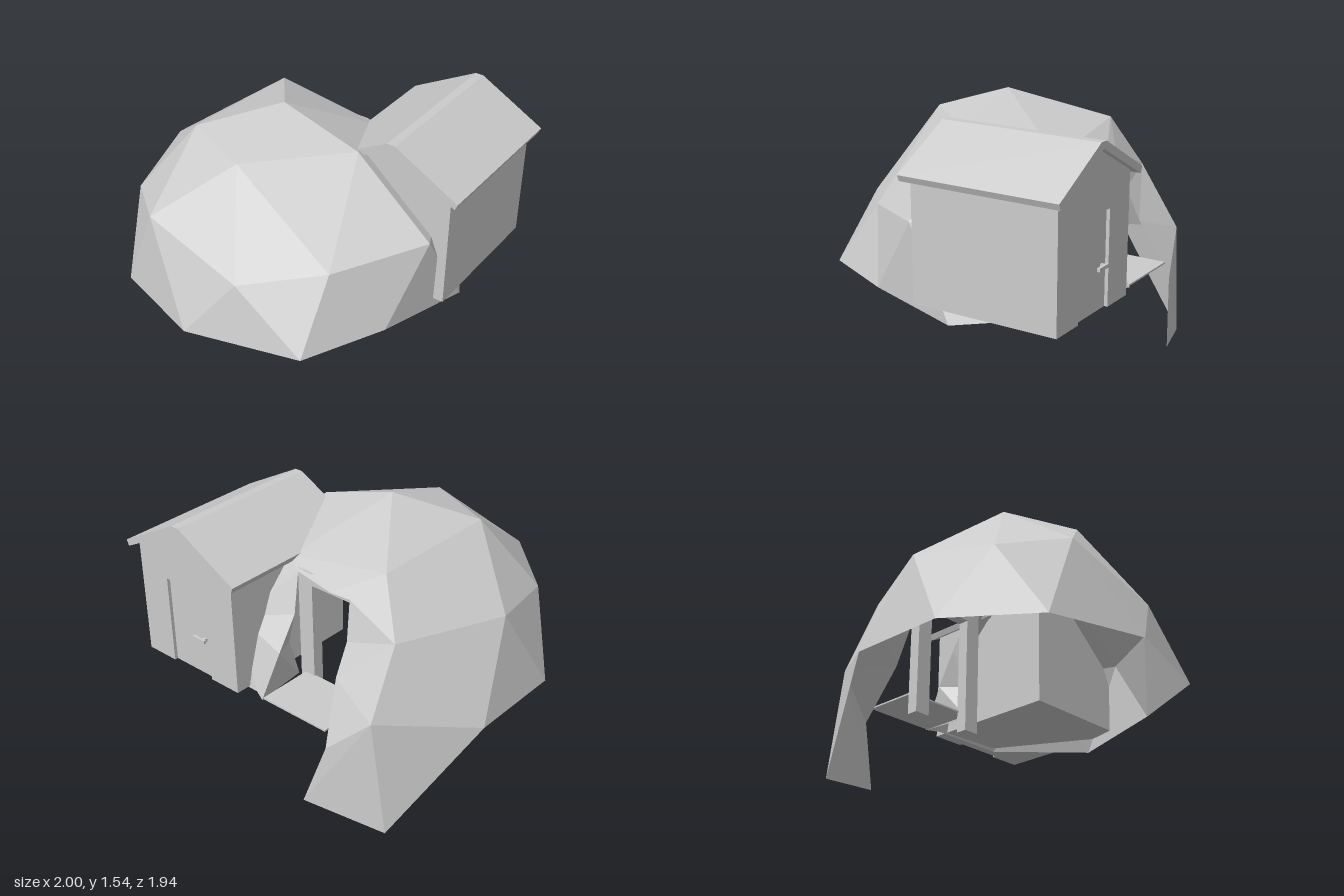
import * as THREE from 'three';

const material = new THREE.MeshStandardMaterial({ color: 0xcccccc, flatShading: true });
const thinMaterial = new THREE.MeshStandardMaterial({ color: 0xcccccc, flatShading: true, side: THREE.DoubleSide });

function addMesh(parent, name, geometry, mat = material) {
  const mesh = new THREE.Mesh(geometry, mat);
  mesh.name = name;
  parent.add(mesh);
  return mesh;
}

// Box given by its limits on each axis
function addBox(parent, name, [x0, x1], [y0, y1], [z0, z1]) {
  const mesh = addMesh(parent, name, new THREE.BoxGeometry(x1 - x0, y1 - y0, z1 - z0));
  mesh.position.set((x0 + x1) / 2, (y0 + y1) / 2, (z0 + z1) / 2);
}

// Outline in x and y, drawn out along z
function addExtrusion(parent, name, outline, z0, z1) {
  const shape = new THREE.Shape(outline.map(([x, y]) => new THREE.Vector2(x, y)));
  const geometry = new THREE.ExtrudeGeometry(shape, { depth: z1 - z0, bevelEnabled: false });
  geometry.translate(0, 0, z0);
  addMesh(parent, name, geometry);
}

function trianglesToGeometry(triangles) {
  const geometry = new THREE.BufferGeometry();
  geometry.setAttribute('position', new THREE.Float32BufferAttribute(triangles.flat(2), 3));
  geometry.computeVertexNormals();
  return geometry;
}

// Faceted half-sphere of rock, broken open at the back
function createRock() {
  const rock = new THREE.Group();
  rock.name = 'rockDome';

  const apex = [-0.1, 1.54, 0.03];
  const upper = [
    [-0.5, 1.39, 0.32], [-0.07, 1.39, 0.5], [0.39, 1.39, 0.02], [0.2, 1.25, -0.48], [-0.46, 1.36, -0.45],
  ];
  const middle = [
    [-0.78, 0.98, 0.52], [-0.46, 1.05, 0.79], [0.15, 0.87, 0.82], [0.54, 0.92, 0.5], [0.87, 0.98, 0.02],
    [0.65, 0.95, -0.42], [0.36, 0.92, -0.75], null, [-0.63, 1.06, -0.58], [-0.9, 1.06, 0.02],
  ];
  const rim = [
    [-0.66, 0.53, 0.79], [-0.1, 0.53, 0.97], [0.56, 0.53, 0.79], [0.79, 0.53, 0.31], [0.93, 0.48, -0.27],
    [0.62, 0.54, -0.82], [0.15, 0.55, -0.84], [-0.66, 0.69, -0.81], [-1, 0.53, -0.27], [-1, 0.53, 0.32],
  ];

  // Rings joined as a subdivided icosahedron; the null vertex leaves the hole
  const faces = [];
  for (let i = 0; i < 5; i++) {
    const a = upper[i], b = upper[(i + 1) % 5];
    const m0 = middle[2 * i], m1 = middle[2 * i + 1], m2 = middle[(2 * i + 2) % 10];
    faces.push([apex, a, b], [a, m0, m1], [a, m1, b], [b, m1, m2]);
  }
  for (let j = 0; j < 10; j++) {
    faces.push([middle[j], rim[j], middle[(j + 1) % 10]], [middle[j], rim[(j + 9) % 10], rim[j]]);
  }
  const shell = faces.filter((face) => !face.includes(null));

  // Ragged border of the opening, with a flap hanging down on one side
  const right = [[-0.31, 1.2, -0.57], [-0.34, 0.98, -0.63], [-0.34, 0.8, -0.72], [-0.41, 0.46, -0.89]];
  const left = [[0.08, 1.22, -0.55], [0.04, 1.0, -0.63], [0.05, 0.8, -0.75], [0.07, 0.55, -0.88]];
  const jamb = [[0.13, 1.18, -0.5], [0.1, 0.95, -0.58], [0.12, 0.78, -0.6], [0.1, 0.55, -0.55]];
  const top = [-0.18, 1.2, -0.58];
  const flapOuter = [-0.75, 0, -0.8], flapInner = [-0.29, 0.08, -0.95];
  const d = upper[3], e = upper[4], m6 = middle[6], m8 = middle[8], r6 = rim[6], r7 = rim[7];
  shell.push(
    [e, d, top], [d, left[0], top], [e, top, right[0]],
    [e, right[0], m8], [m8, right[0], right[1]], [m8, right[1], right[2]],
    [m8, right[2], r7], [r7, right[2], right[3]],
    [r7, right[3], flapInner], [r7, flapInner, flapOuter], [r7, flapOuter, rim[8]],
    [d, m6, left[0]], [left[0], m6, left[1]], [left[1], m6, left[2]],
    [m6, r6, left[2]], [left[2], r6, left[3]],
  );
  addMesh(rock, 'rockShell', trianglesToGeometry(shell), thinMaterial);

  // Broken inner side of the opening
  const side = [];
  for (let i = 0; i < 3; i++) {
    side.push([left[i], left[i + 1], jamb[i + 1]], [left[i], jamb[i + 1], jamb[i]]);
  }
  addMesh(rock, 'openingSide', trianglesToGeometry(side), thinMaterial);
  return rock;
}

// Two posts and a lintel inside the opening, with a floor plate outside
function createEntrance() {
  const entrance = new THREE.Group();
  entrance.name = 'entrance';
  for (const x of [-0.4, 0]) {
    addBox(entrance, 'entrancePost', [x, x + 0.1], [0.42, 1.15], [-0.53, -0.46]);
  }
  addBox(entrance, 'lintel', [-0.4, 0.1], [1.15, 1.23], [-0.53, -0.46]);
  addBox(entrance, 'entranceFloor', [-0.39, 0.07], [0.55, 0.56], [-0.87, -0.52]);
  return entrance;
}

// Gabled hut with a recessed door at the back
function createHut() {
  const hut = new THREE.Group();
  hut.name = 'hut';
  const middleX = 0.575, base = 0.56;
  const gable = [[0.94, 1.26], [middleX, 1.45], [0.21, 1.26], [0.21, base]];

  addExtrusion(hut, 'hutWalls', [[0.94, base], ...gable], -0.9, -0.05);
  addExtrusion(hut, 'doorWall', [
    ...gable, [0.42, base], [0.42, 1.1], [0.73, 1.1], [0.73, base], [0.94, base],
  ], -0.93, -0.9);
  addBox(hut, 'door', [0.42, 0.73], [base, 1.1], [-0.91, -0.895]);

  // Roof outline, mirrored about the ridge
  const half = [[0.41, 1.235], [0.425, 1.27], [0.025, 1.487]];
  const roof = [
    [middleX, 1.45],
    ...half.map(([x, y]) => [middleX + x, y]),
    ...half.map(([x, y]) => [middleX - x, y]).reverse(),
  ];
  addExtrusion(hut, 'roof', roof, -0.97, -0.01);

  addBox(hut, 'handleStem', [0.455, 0.475], [0.79, 0.81], [-0.94, -0.905]);
  addBox(hut, 'handleLever', [0.445, 0.54], [0.79, 0.81], [-0.945, -0.928]);
  return hut;
}

export function createModel() {
  const model = new THREE.Group();
  model.name = 'rockDomeWithHut';
  model.add(createRock(), createEntrance(), createHut());
  return model;
}
